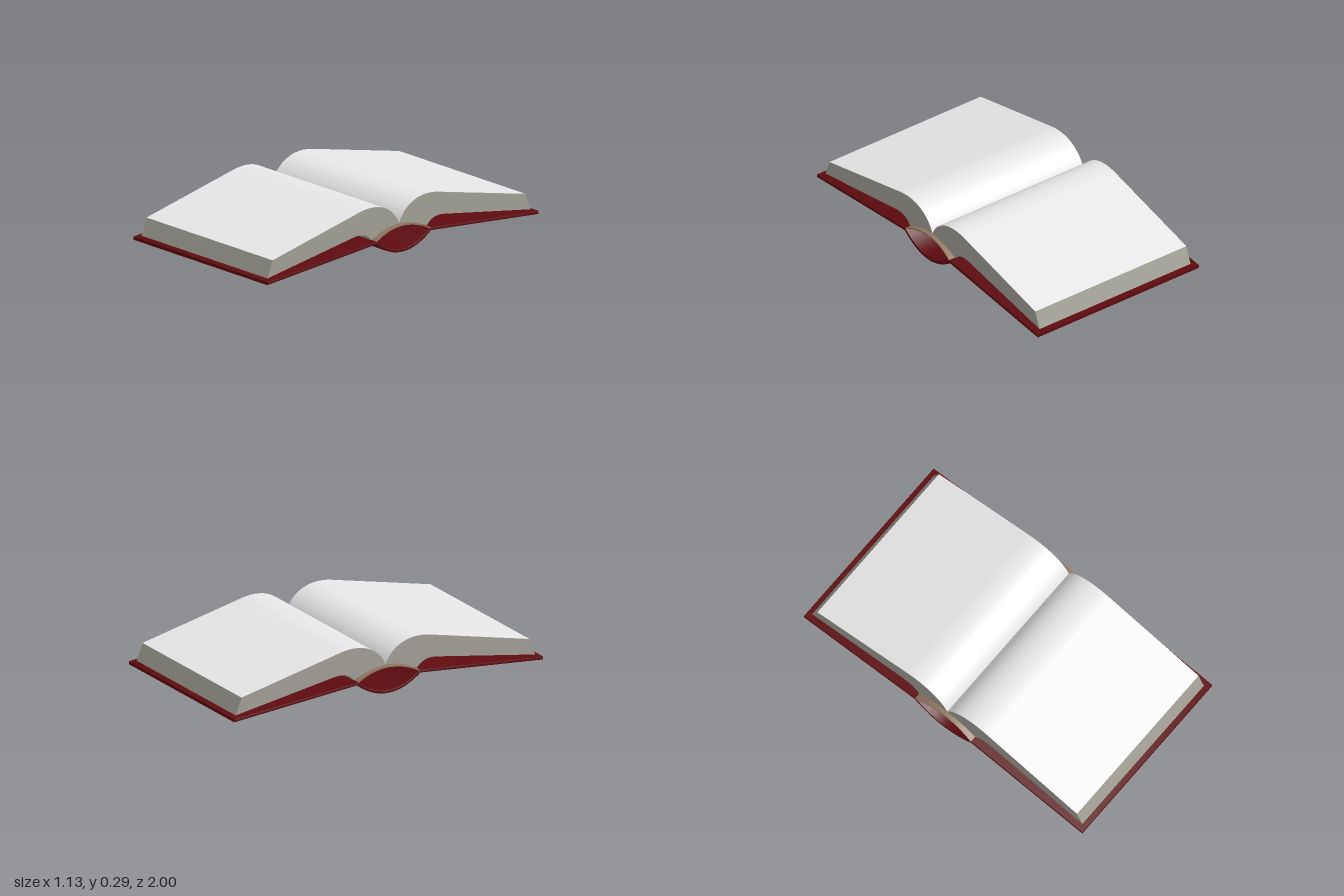
import * as THREE from 'three';
import { toCreasedNormals } from 'three/addons/utils/BufferGeometryUtils.js';

const material = (name, color, side = THREE.FrontSide) => {
  const m = new THREE.MeshStandardMaterial({ color, side });
  m.name = name;
  return m;
};

// Extrudes a (z, y) profile along x, centred on x = 0
function extrudeProfile(shape, width, bevel = 0) {
  const geo = new THREE.ExtrudeGeometry(shape, {
    depth: width - 2 * bevel, curveSegments: 20,
    bevelEnabled: bevel > 0, bevelSize: bevel, bevelThickness: bevel,
    bevelOffset: -bevel, bevelSegments: 2,
  });
  geo.translate(0, 0, -width / 2 + bevel);
  geo.rotateY(-Math.PI / 2);
  return geo;
}

// Open sheet following a (z, y) line across the width
function ribbon(points, width) {
  const pos = [], index = [];
  points.forEach((p, i) => {
    pos.push(-width / 2, p.y, p.x, width / 2, p.y, p.x);
    if (i > 0) {
      const a = 2 * i - 2;
      index.push(a, a + 2, a + 1, a + 1, a + 2, a + 3);
    }
  });
  const geo = new THREE.BufferGeometry();
  geo.setAttribute('position', new THREE.Float32BufferAttribute(pos, 3));
  geo.setIndex(index);
  geo.computeVertexNormals();
  return geo;
}

// Upper line of one page stack, from gutter to outer edge
function pageTop(path, lift) {
  path.moveTo(0, 0.155 + lift);
  path.bezierCurveTo(0.03, 0.235 + lift, 0.11, 0.288 + lift, 0.21, 0.288 + lift);
  path.bezierCurveTo(0.25, 0.288 + lift, 0.28, 0.282 + lift, 0.3, 0.277 + lift);
  path.lineTo(0.932, 0.134 + lift);
  return path;
}

export function createModel() {
  const red = material('cover red', 0x5c0a0e);
  const paper = material('paper white', 0xe9e9e9, THREE.DoubleSide);
  const edge = material('page edge grey', 0xa09e94);
  const tan = material('spine lining tan', 0x8f7660);

  const book = new THREE.Group();
  book.name = 'openBook';
  const add = (parent, name, geo, mat) => {
    const mesh = new THREE.Mesh(geo, mat);
    mesh.name = name;
    parent.add(mesh);
  };

  // Cover boards joined by the sagging spine
  const cover = new THREE.Shape();
  cover.moveTo(-1, 0.011);
  cover.lineTo(-0.205, 0.081);
  cover.quadraticCurveTo(0, -0.081, 0.205, 0.081);
  cover.lineTo(1, 0.011);
  cover.lineTo(1, 0.029);
  cover.lineTo(0.2, 0.1);
  cover.quadraticCurveTo(0, -0.062, -0.2, 0.1);
  cover.lineTo(-1, 0.029);
  cover.closePath();
  add(book, 'cover', toCreasedNormals(extrudeProfile(cover, 1.13, 0.004), 0.5), red);

  // Arched lining over the spine, slightly narrower at its crest
  const arch = new THREE.Shape();
  arch.moveTo(-0.205, 0.09);
  arch.quadraticCurveTo(0, 0.202, 0.205, 0.09);
  arch.lineTo(0.2, 0.1);
  arch.quadraticCurveTo(0, 0.21, -0.2, 0.1);
  arch.closePath();
  const archGeo = extrudeProfile(arch, 1.13);
  const p = archGeo.attributes.position;
  for (let i = 0; i < p.count; i++) {
    const t = Math.max(0, 1 - (p.getZ(i) / 0.2) ** 2);
    p.setX(i, p.getX(i) * (1 - 0.02 * t));
  }
  archGeo.computeVertexNormals();
  add(book, 'spineLining', toCreasedNormals(archGeo, 0.5), tan);

  // Two page stacks, the second turned half a circle
  const stack = pageTop(new THREE.Shape(), -0.002);
  stack.lineTo(0.97, 0.036);
  stack.lineTo(0.34, 0.141);
  stack.bezierCurveTo(0.27, 0.153, 0.23, 0.135, 0.205, 0.1);
  stack.quadraticCurveTo(0.1, 0.153, 0, 0.153);
  const stackGeo = toCreasedNormals(extrudeProfile(stack, 1.056), 0.5);
  const sheetGeo = ribbon(pageTop(new THREE.Path(), 0).getPoints(20), 1.056);
  ['front', 'back'].forEach((side, i) => {
    const half = new THREE.Group();
    half.name = side + 'Pages';
    half.rotation.y = i * Math.PI;
    add(half, side + 'PageStack', stackGeo, edge);
    add(half, side + 'TopPage', sheetGeo, paper);
    book.add(half);
  });

  return book;
}
